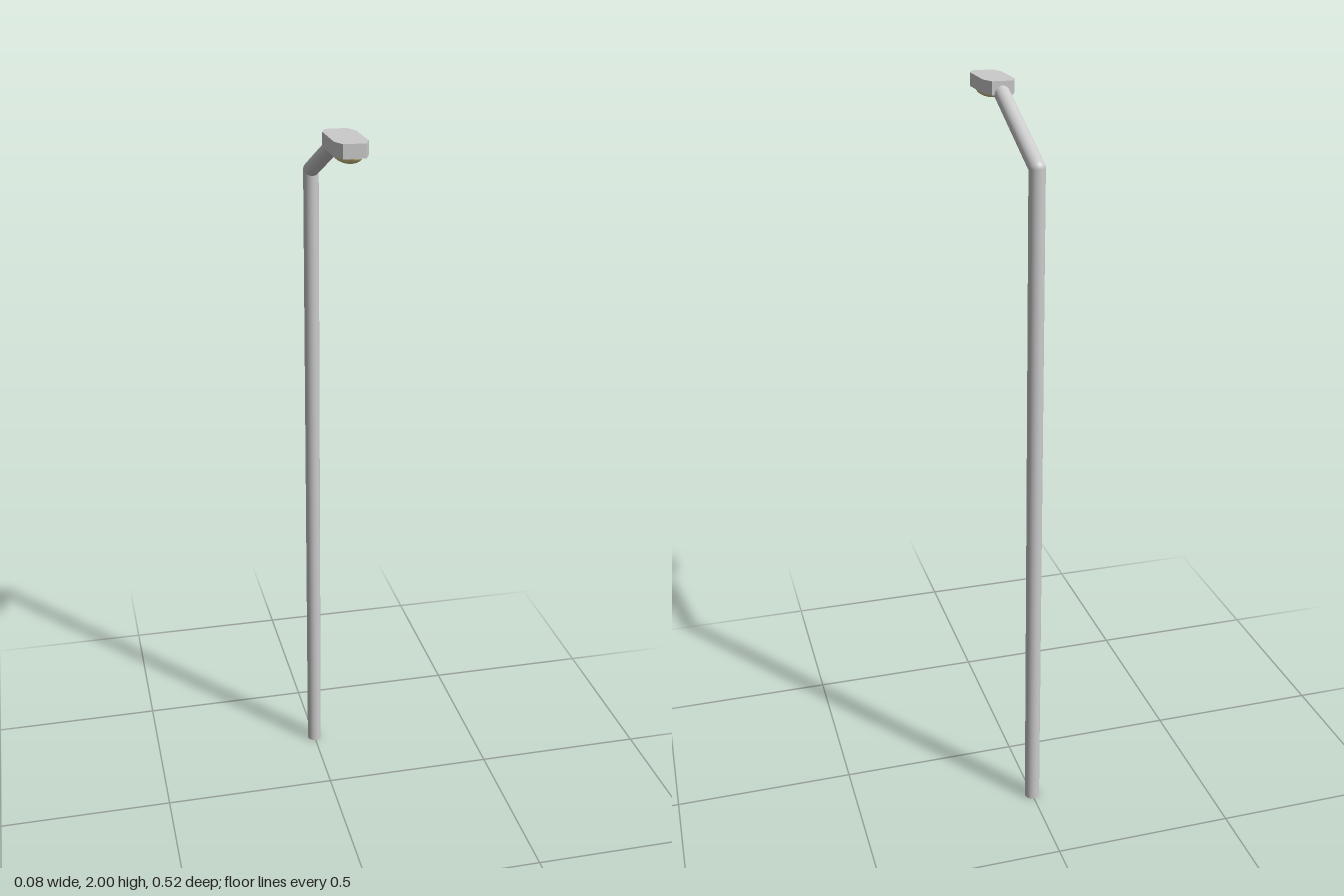
import * as THREE from 'three';

const R = 0.021; // pole and arm radius
const POLE_Z = -0.24;

export function createModel() {
  const group = new THREE.Group();
  const grey = new THREE.MeshStandardMaterial({ color: 0xcccccc });
  const glass = new THREE.MeshStandardMaterial({ color: 0xd8cf8c });

  const add = (name, geometry, material = grey) => {
    const mesh = new THREE.Mesh(geometry, material);
    mesh.name = name;
    group.add(mesh);
    return mesh;
  };

  // Round tube between two points
  const rod = (name, a, b) => {
    const dir = b.clone().sub(a);
    const mesh = add(name, new THREE.CylinderGeometry(R, R, dir.length(), 32));
    mesh.position.copy(a).add(b).multiplyScalar(0.5);
    mesh.quaternion.setFromUnitVectors(new THREE.Vector3(0, 1, 0), dir.normalize());
  };

  const foot = new THREE.Vector3(0, 0, POLE_Z);
  const elbow = new THREE.Vector3(0, 1.84, POLE_Z);
  const armEnd = new THREE.Vector3(0, 1.97, 0.07);
  rod('pole', foot, elbow);
  rod('arm', elbow, armEnd);

  // Rounded elbow where the arm meets the pole
  add('elbowJoint', new THREE.SphereGeometry(R, 32, 16)).position.copy(elbow);

  // Lamp head: flat box with cut corners, extruded downwards from y = 2
  const outline = [
    [-0.028, 0.06], [0.028, 0.06], [0.042, 0.095], [0.042, 0.225],
    [0.028, 0.26], [-0.028, 0.26], [-0.042, 0.225], [-0.042, 0.095],
  ].map(([x, z]) => new THREE.Vector2(x, z));
  const head = new THREE.ExtrudeGeometry(new THREE.Shape(outline), { depth: 0.035, bevelEnabled: false });
  head.rotateX(Math.PI / 2);
  add('lampHead', head).position.y = 2;

  // Shallow oval lens under the head
  const lens = add('lens', new THREE.SphereGeometry(1, 32, 12, 0, Math.PI * 2, Math.PI / 2, Math.PI / 2), glass);
  lens.scale.set(0.035, 0.022, 0.071);
  lens.position.set(0, 1.965, 0.185);

  return group;
}
